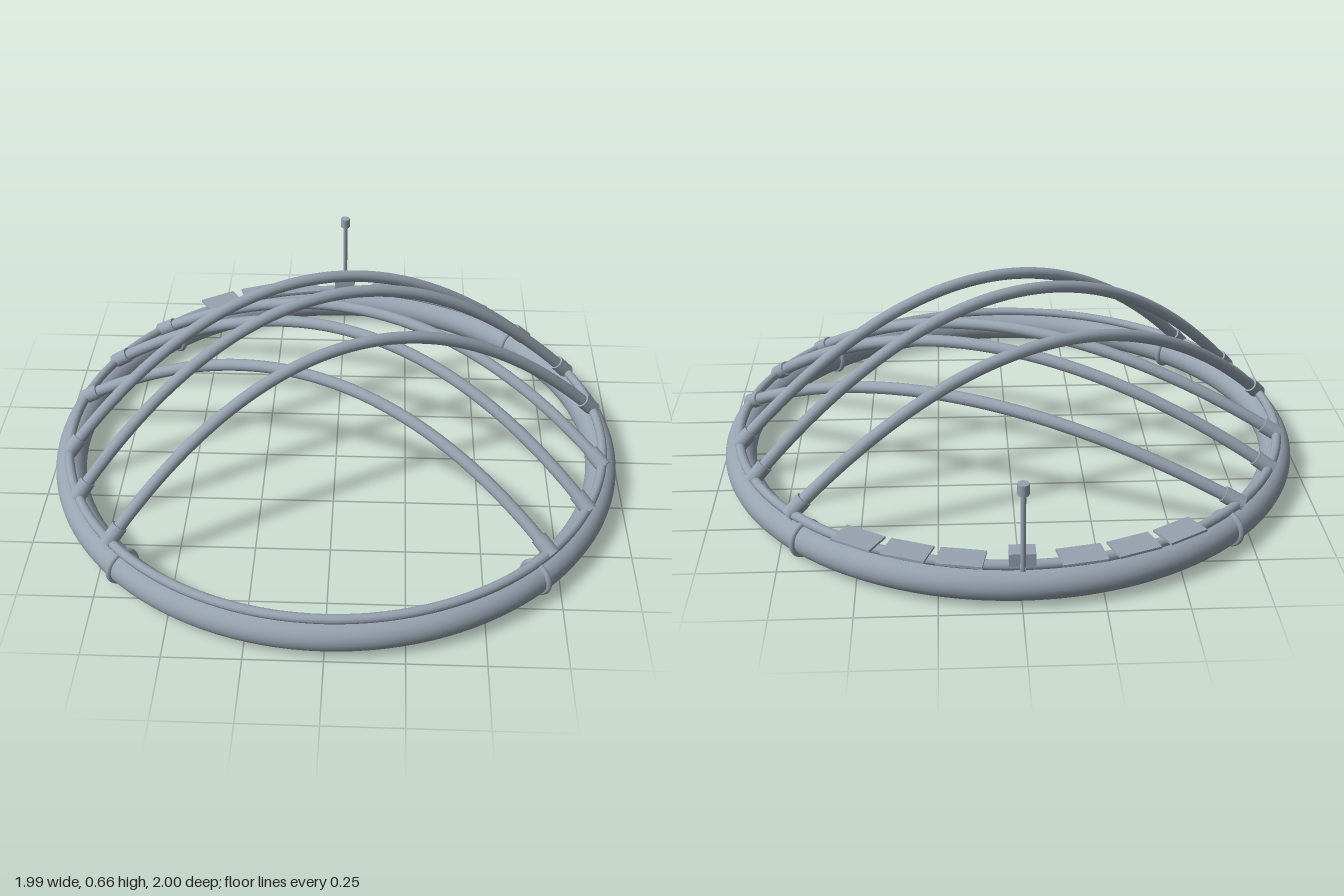
import * as THREE from 'three';

const RING_R = 0.94, RING_Y = 0.064, TUBE_R = 0.053, RAIL_Y = 0.127;

export function createModel() {
  const model = new THREE.Group();
  const ringGroup = new THREE.Group();
  ringGroup.name = 'domeFrame';
  ringGroup.position.z = 0.005;
  model.add(ringGroup);

  const steel = new THREE.MeshStandardMaterial({ color: 0x97a3b0 });
  steel.name = 'blue grey steel';

  const add = (name, geometry, x = 0, y = 0, z = 0) => {
    const mesh = new THREE.Mesh(geometry, steel);
    mesh.name = name;
    mesh.position.set(x, y, z);
    ringGroup.add(mesh);
    return mesh;
  };
  // Point on the ring; the angle runs from +x towards +z
  const onRing = (degrees, y, r = RING_R) => {
    const a = THREE.MathUtils.degToRad(degrees);
    return new THREE.Vector3(r * Math.cos(a), y, r * Math.sin(a));
  };

  // Base ring and the thin rail on top of it
  add('baseRing', new THREE.TorusGeometry(RING_R, TUBE_R, 24, 128), 0, RING_Y).rotation.x = Math.PI / 2;
  add('topRail', new THREE.TorusGeometry(RING_R, 0.016, 12, 128), 0, RAIL_Y).rotation.x = Math.PI / 2;

  // Joint collars on the diagonals
  for (const deg of [45, 135, 225, 315]) {
    const p = onRing(deg, RING_Y);
    const collar = add('jointCollar', new THREE.TorusGeometry(TUBE_R, 0.011, 10, 32), p.x, p.y, p.z);
    collar.rotation.y = -THREE.MathUtils.degToRad(deg);
  }

  // Leaning arch between two ring points, with a sleeve at each foot
  const up = new THREE.Vector3(0, 1, 0);
  const arch = (name, startDeg, endDeg, top, lean) => {
    const a = onRing(startDeg, RAIL_Y), b = onRing(endDeg, RAIL_Y);
    const side = b.clone().sub(a).normalize().cross(up).negate();
    const control = a.clone().add(b).multiplyScalar(0.5).addScaledVector(side, 2 * lean);
    control.y = RAIL_Y + 2 * (top - RAIL_Y);
    const curve = new THREE.QuadraticBezierCurve3(a, control, b);
    add(name, new THREE.TubeGeometry(curve, 64, 0.021, 12));
    for (const foot of [a, b]) {
      const dir = control.clone().sub(foot).normalize();
      const p = foot.clone().addScaledVector(dir, 0.025);
      const sleeve = add('archSleeve', new THREE.CylinderGeometry(0.027, 0.027, 0.07, 16), p.x, p.y, p.z);
      sleeve.quaternion.setFromUnitVectors(up, dir);
    }
  };
  // Tall arches rise from front left of the plan, low arches cross beneath
  const spans = [[41, 10, 0.6, 0.42], [25, 25, 0.64, 0.46], [10, 41, 0.555, 0.385]];
  for (const [front, back, tall, low] of spans) {
    arch('tallArch', 180 - front, -back, tall, 0.08);
    arch('lowArch', front, 180 + back, low, -0.14);
  }

  // Flat panels along the back of the rail
  for (const s of [-1, 1]) {
    for (const offset of [11, 21.2, 31.4]) {
      const p = onRing(-90 + s * offset, 0.145);
      const panel = add('panel', new THREE.BoxGeometry(0.14, 0.008, 0.09), p.x, p.y, p.z);
      panel.rotation.y = -s * THREE.MathUtils.degToRad(offset);
    }
  }

  // Control box and mast with its sensor head at the back
  add('controlBox', new THREE.BoxGeometry(0.08, 0.042, 0.055), 0, 0.162, -0.942);
  add('mast', new THREE.CylinderGeometry(0.008, 0.008, 0.26, 12), 0, 0.27, -0.987);
  add('mastFoot', new THREE.BoxGeometry(0.016, 0.012, 0.05), 0, 0.144, -0.968);
  add('sensorHead', new THREE.CylinderGeometry(0.018, 0.018, 0.036, 16), 0, 0.415, -0.987);

  return model;
}
